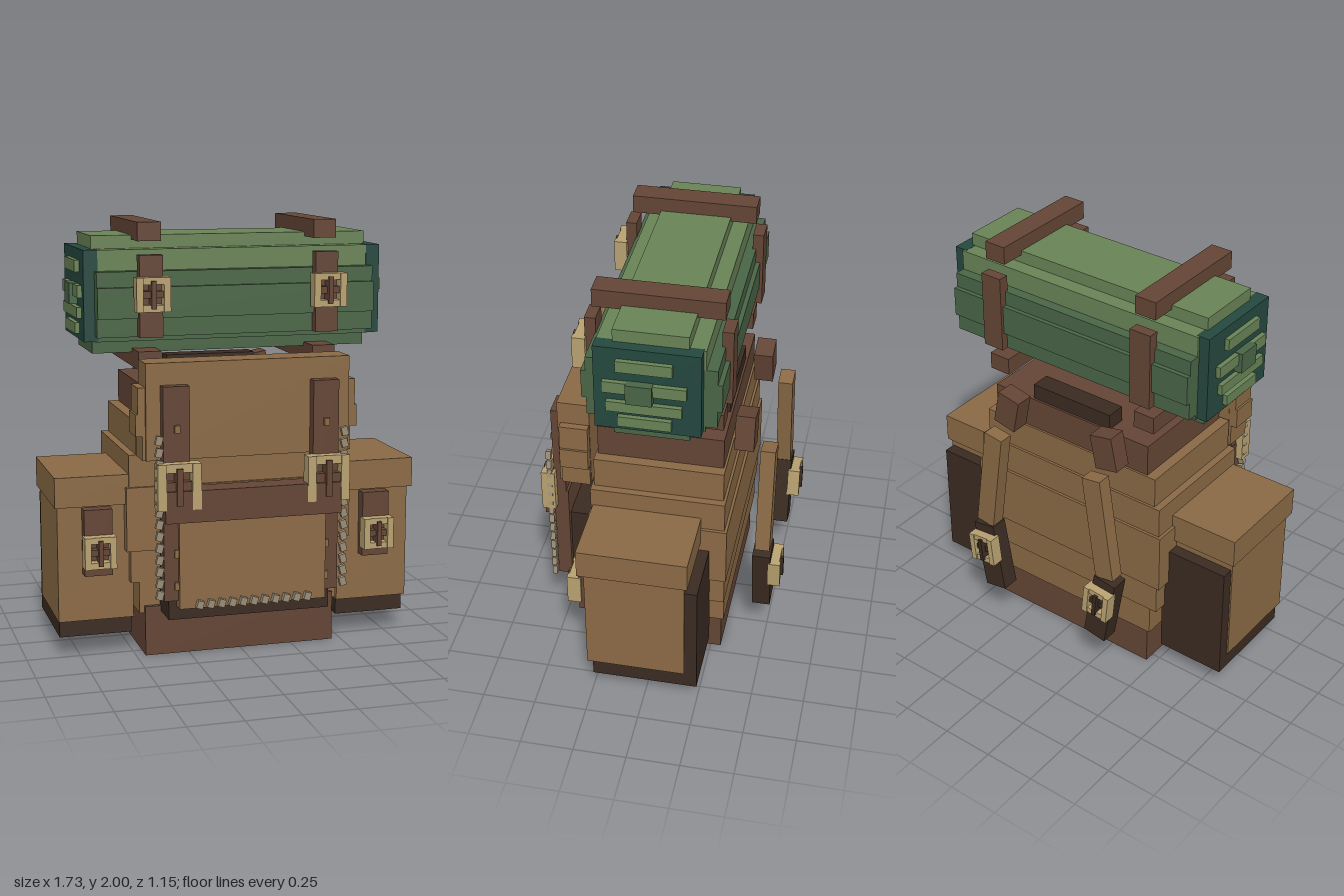
import * as THREE from 'three';

export function createModel() {
  const root = new THREE.Group();
  root.name = 'backpack';
  const mat = (name, color) => {
    const m = new THREE.MeshStandardMaterial({ color });
    m.name = name;
    return m;
  };
  const tan = mat('tan canvas', 0x8b6a45);
  const brown = mat('brown leather', 0x644535);
  const dark = mat('dark leather', 0x3a2b21);
  const brass = mat('brass', 0xb9a271);
  const rope = mat('rope', 0x9a8d76);
  const light = mat('light green', 0x698356);
  const green = mat('green', 0x4a6546);
  const teal = mat('dark green', 0x24483f);

  // Box given by its limits on each axis, optionally turned about z
  const box = (name, m, x0, x1, y0, y1, z0, z1, turn = 0, parent = root) => {
    const mesh = new THREE.Mesh(new THREE.BoxGeometry(x1 - x0, y1 - y0, z1 - z0), m);
    mesh.position.set((x0 + x1) / 2, (y0 + y1) / 2, (z0 + z1) / 2);
    mesh.rotation.z = turn;
    mesh.name = name;
    parent.add(mesh);
    return mesh;
  };
  // The same box on both sides, s = +1 is the model's left
  const pair = (name, m, x0, x1, y0, y1, z0, z1, turn = 0) => {
    for (const s of [1, -1]) {
      const [a, b] = s > 0 ? [x0, x1] : [-x1, -x0];
      box(name, m, a, b, y0, y1, z0, z1, turn * s);
    }
  };
  // Square open buckle with a leather prong, facing +z or -z
  const buckle = (name, x, y, z, w, h, d, prong, facing = 1, turn = 0) => {
    const g = new THREE.Group();
    const t = w * 0.2;
    for (const s of [1, -1]) {
      box('buckleSide', brass, s * w / 2 - (s > 0 ? t : 0), s * w / 2 + (s > 0 ? 0 : t), -h / 2, h / 2, -d / 2, d / 2, 0, g);
      const y0 = s > 0 ? h / 2 - t : -h / 2;
      box('buckleBar', brass, -w / 2 + t, w / 2 - t, y0, y0 + t, -d / 2, d / 2 - 0.006, 0, g);
    }
    box('buckleProng', prong, -w * 0.07, w * 0.07, -h * 0.4, h * 0.4, -d / 2, d / 2 + 0.008, 0, g);
    box('buckleTongue', prong, -w * 0.3, w * 0.3, -h * 0.1, h * 0.1, -d / 2, d / 2 - 0.015, 0, g);
    g.position.set(x, y, z);
    g.rotation.set(0, facing > 0 ? 0 : Math.PI, 0);
    g.rotateZ(turn * facing);
    g.name = name;
    root.add(g);
  };

  // Main body: base, stacked canvas layers and leather top
  box('base', brown, -0.457, 0.457, 0, 0.235, -0.30, 0.33);
  const layers = [
    [0.48, 0.2, 0.35, -0.315, 0.31], [0.52, 0.35, 0.5, -0.32, 0.315],
    [0.54, 0.5, 0.8, -0.33, 0.325], [0.525, 0.8, 0.95, -0.317, 0.312],
    [0.49, 0.95, 1.1, -0.305, 0.3],
  ];
  for (const [w, y0, y1, z0, z1] of layers) box('bodyLayer', tan, -w, w, y0, y1, z0, z1);
  box('bodyTop', brown, -0.44, 0.44, 1.1, 1.255, -0.295, 0.29);
  box('carryHandle', dark, -0.22, 0.22, 1.24, 1.33, -0.285, -0.19);

  // Front flap with stepped edges
  const flap = [[0.48, 1.28, 1.39], [0.512, 1.16, 1.28], [0.522, 1.06, 1.16], [0.492, 0.95, 1.06]];
  box('flap', tan, -0.478, 0.478, 0.95, 1.39, 0.316, 0.464);
  for (const [w, y0, y1] of flap.slice(1)) box('flapEdge', tan, -w, w, y0, y1, 0.318, 0.45);

  // Front pocket
  box('pocketShell', dark, -0.383, 0.383, 0.21, 0.675, 0.29, 0.48);
  pair('pocketFrame', brown, 0.345, 0.412, 0.31, 0.68, 0.45, 0.517);
  box('pocketPanel', tan, -0.346, 0.346, 0.275, 0.70, 0.47, 0.54);
  box('pocketLid', brown, -0.415, 0.412, 0.68, 0.825, 0.45, 0.565);
  for (const y of [0.38, 0.53]) pair('pocketTab', tan, 0.34, 0.365, y - 0.018, y + 0.018, 0.5, 0.53);

  // Flap straps and buckles
  pair('flapStrap', brown, 0.29, 0.412, 0.78, 1.29, 0.46, 0.515);
  pair('strapStud', tan, 0.338, 0.363, 1.083, 1.117, 0.5, 0.535);
  for (const s of [1, -1]) buckle('flapBuckle', s * 0.35, 0.845, 0.535, 0.2, 0.21, 0.065, brown);

  // Rope stitching
  for (let i = 0; i < 14; i++) {
    const y = 0.345 + i * 0.0545;
    pair('sideStitch', rope, 0.42, 0.45, y - 0.02, y + 0.02, 0.515, 0.538, 0.25);
  }
  for (let i = 0; i < 11; i++) {
    const x = -0.255 + i * 0.051;
    box('bottomStitch', rope, x - 0.015, x + 0.015, 0.277, 0.313, 0.535, 0.565, -0.3);
  }

  // Side pouches
  pair('pouchShell', dark, 0.505, 0.845, 0.095, 0.68, -0.25, 0.247);
  pair('pouch', tan, 0.50, 0.852, 0.175, 0.73, -0.192, 0.273);
  pair('pouchLid', tan, 0.49, 0.866, 0.72, 0.86, -0.208, 0.302);
  pair('pouchStrap', brown, 0.607, 0.738, 0.4, 0.71, 0.27, 0.33);
  for (const s of [1, -1]) buckle('pouchBuckle', s * 0.672, 0.517, 0.35, 0.147, 0.148, 0.065, brown);

  // Bedroll: stacked slabs making a stepped cylinder
  const slabs = [
    [light, 1.86, 1.935, 0.165], [light, 1.78, 1.875, 0.237], [green, 1.485, 1.78, 0.287],
    [green, 1.57, 1.71, 0.308], [green, 1.46, 1.49, 0.235], [green, 1.4, 1.465, 0.168],
  ];
  for (const [m, y0, y1, d] of slabs) box('bedrollLayer', m, -0.655, 0.655, y0, y1, -0.01 - d, -0.01 + d);
  pair('bedrollEnd', teal, 0.64, 0.705, 1.463, 1.876, -0.236, 0.23);
  const rings = [[1.77, 1.825, -0.115, 0.13], [1.66, 1.715, -0.175, 0.19], [1.565, 1.615, -0.155, 0.175], [1.49, 1.54, -0.11, 0.125]];
  for (const [y0, y1, z0, z1] of rings) pair('bedrollFold', light, 0.7, 0.727, y0, y1, z0, z1);
  pair('bedrollCore', green, 0.7, 0.744, 1.622, 1.718, -0.03, 0.085);

  // Bedroll straps and buckles
  pair('rollStrapTop', brown, 0.361, 0.469, 1.915, 2.0, -0.295, 0.287);
  pair('rollStrapBottom', brown, 0.361, 0.469, 1.335, 1.418, -0.295, 0.287);
  pair('rollStrapFront', brown, 0.361, 0.469, 1.485, 1.855, 0.272, 0.322);
  pair('rollStrapBack', brown, 0.361, 0.469, 1.485, 1.855, -0.332, -0.281);
  for (const s of [1, -1]) buckle('rollBuckle', s * 0.416, 1.682, 0.347, 0.157, 0.155, 0.06, brown);

  // Shoulder straps: leather root, canvas band, dark end and buckle
  pair('shoulderRoot', brown, 0.222, 0.342, 1.135, 1.305, -0.417, -0.327, 0.2);
  pair('shoulderBand', tan, 0.272, 0.372, 0.6, 1.135, -0.515, -0.445, 0.14);
  pair('shoulderEnd', dark, 0.275, 0.395, 0.235, 0.595, -0.522, -0.436, -0.17);
  for (const s of [1, -1]) buckle('shoulderBuckle', s * 0.345, 0.475, -0.54, 0.14, 0.145, 0.06, dark, -1, -0.1 * s);

  return root;
}
